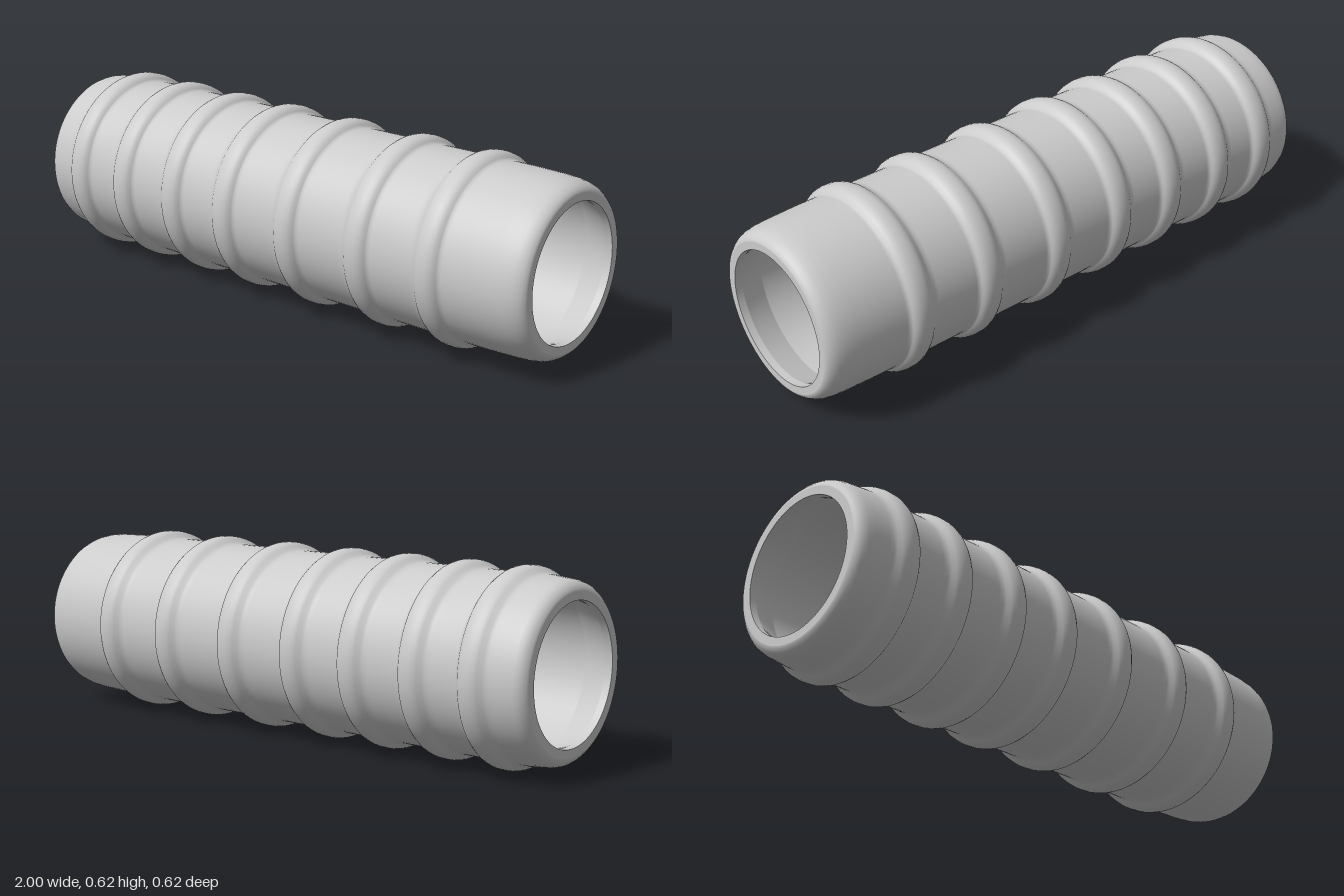
import * as THREE from 'three';

export function createModel() {
  const group = new THREE.Group();
  const material = new THREE.MeshStandardMaterial({ color: 0xcccccc });
  const axisY = 0.3125;

  // Revolves [x, radius] pairs about the sleeve's long axis
  function revolve(name, profile) {
    const points = profile.map(([x, r]) => new THREE.Vector2(r, x));
    const geometry = new THREE.LatheGeometry(points, 80);
    geometry.rotateZ(-Math.PI / 2);
    const mesh = new THREE.Mesh(geometry, material);
    mesh.name = name;
    mesh.position.y = axisY;
    group.add(mesh);
  }

  // Outer skin: rounded ends and seven raised rings
  const outer = [
    [-1, 0.25], [-0.998, 0.258], [-0.99, 0.268], [-0.98, 0.276],
    [-0.965, 0.281], [-0.94, 0.284], [-0.91, 0.287],
  ];
  const ring = [
    [-0.07, 0.2885], [-0.056, 0.29], [-0.045, 0.295], [-0.034, 0.304], [-0.024, 0.309],
    [-0.012, 0.312], [0, 0.3125], [0.012, 0.312], [0.024, 0.309], [0.034, 0.303],
    [0.04, 0.296], [0.045, 0.291], [0.055, 0.2885],
  ];
  for (const centre of [-0.825, -0.612, -0.38, -0.147, 0.12, 0.405, 0.672]) {
    for (const [dx, r] of ring) outer.push([centre + dx, r]);
  }
  outer.push(
    [0.8, 0.288], [0.9, 0.285], [0.94, 0.282], [0.965, 0.277],
    [0.98, 0.271], [0.99, 0.264], [0.998, 0.256], [1, 0.248],
  );
  revolve('outerSleeve', outer);

  // Flat rims and the short lips around both openings
  revolve('leftRim', [[1, 0.248], [1, 0.222]]);
  revolve('leftLip', [[1, 0.222], [0.975, 0.222]]);
  revolve('rightLip', [[-0.975, 0.222], [-1, 0.222]]);
  revolve('rightRim', [[-1, 0.222], [-1, 0.25]]);

  // Bore, widening behind the lips
  revolve('leftBoreTaper', [[0.975, 0.222], [0.89, 0.25]]);
  revolve('bore', [[0.89, 0.25], [-0.89, 0.25]]);
  revolve('rightBoreTaper', [[-0.89, 0.25], [-0.975, 0.222]]);

  // Key under the top of the bore, with fine ribs along its underside
  const key = new THREE.Group();
  key.name = 'innerKey';
  const addBox = (name, w, h, d, x, y, z) => {
    const mesh = new THREE.Mesh(new THREE.BoxGeometry(w, h, d), material);
    mesh.name = name;
    mesh.position.set(x, y, z);
    key.add(mesh);
  };
  addBox('keyBlock', 0.3, 0.045, 0.1, 0.74, 0.5405, 0.003);
  for (const z of [-0.036, -0.01, 0.016, 0.042]) {
    addBox('keyRib', 0.3, 0.004, 0.012, 0.74, 0.517, z);
  }
  group.add(key);

  return group;
}
